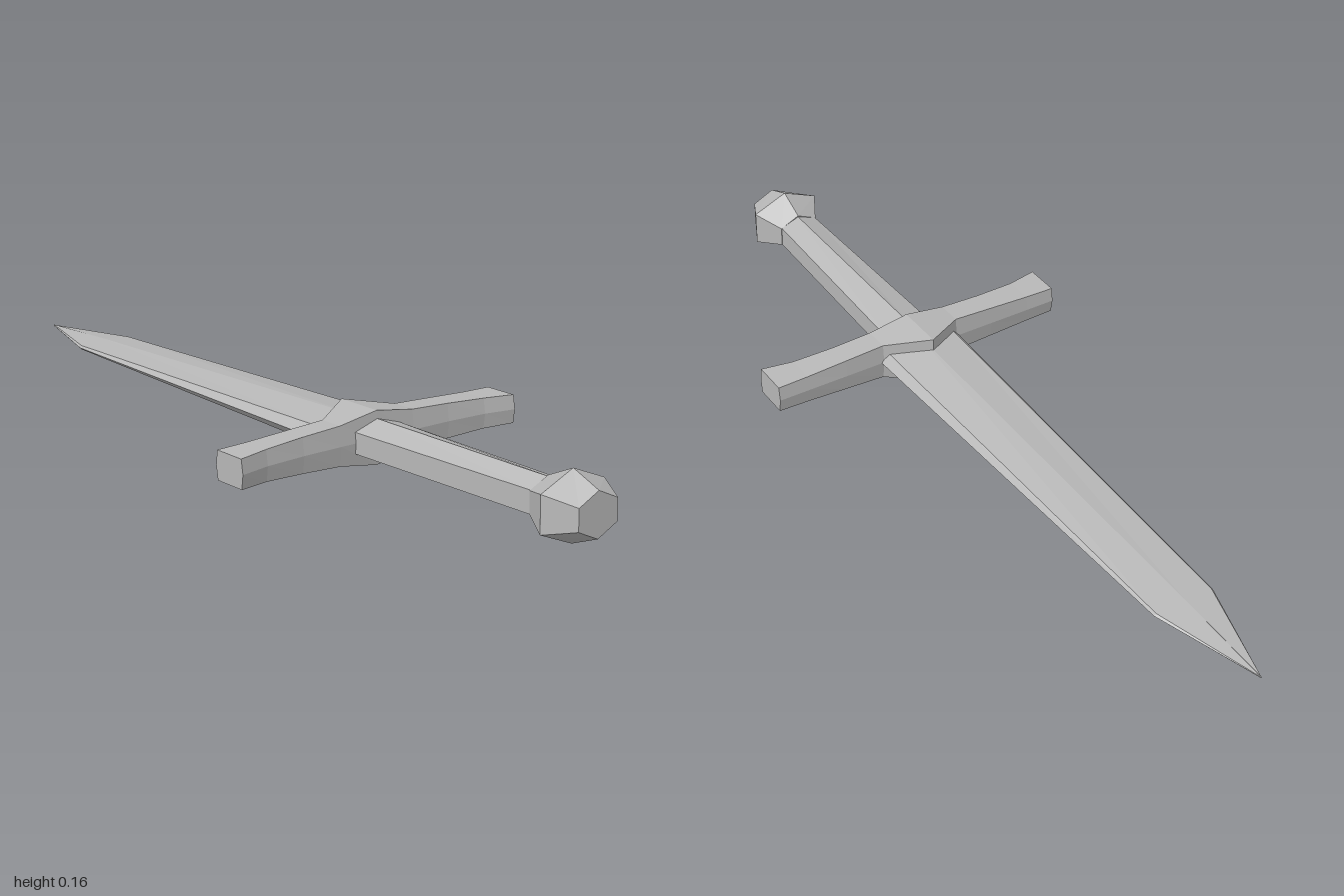
import * as THREE from 'three';

// Skin a solid through rings of points (counter-clockwise seen from the far end), flat shaded
function loft(rings) {
  const n = rings[0].length;
  const pos = [];
  const tri = (...pts) => pts.forEach((p) => pos.push(...p));
  for (let r = 0; r < rings.length - 1; r++) {
    const a = rings[r], b = rings[r + 1];
    for (let i = 0; i < n; i++) {
      const j = (i + 1) % n;
      tri(a[i], a[j], b[j]);
      tri(a[i], b[j], b[i]);
    }
  }
  const first = rings[0], last = rings[rings.length - 1];
  for (let i = 1; i < n - 1; i++) {
    tri(first[0], first[i + 1], first[i]);
    tri(last[0], last[i], last[i + 1]);
  }
  const g = new THREE.BufferGeometry();
  g.setAttribute('position', new THREE.Float32BufferAttribute(pos, 3));
  g.computeVertexNormals();
  return g;
}

// Hexagon with upright sides and a ridge at top and bottom
const hexRing = (z, w, side, h) => [
  [w, -side, z], [w, side, z], [0, h, z], [-w, side, z], [-w, -side, z], [0, -h, z],
];

// Blade section: central ridge, bevel shoulders and a sharp edge
const bladeRing = (z, edge, shoulder, sy, h) => [
  [edge, 0, z], [shoulder, sy, z], [0, h, z], [-shoulder, sy, z],
  [-edge, 0, z], [-shoulder, -sy, z], [0, -h, z], [shoulder, -sy, z],
];

// Guard section across x, slightly bulged on its front and back
const guardRing = (x, h, back, front) => [
  [x, h, back + 0.005], [x, h, front - 0.005], [x, 0, front],
  [x, -h, front - 0.005], [x, -h, back + 0.005], [x, 0, back],
];

export function createModel() {
  const steel = new THREE.MeshStandardMaterial({ color: 0xb8b8b8 });
  steel.name = 'steel grey';
  const sword = new THREE.Group();
  sword.name = 'sword';
  const add = (name, rings) => {
    const mesh = new THREE.Mesh(loft(rings), steel);
    mesh.name = name;
    sword.add(mesh);
  };

  // Tapering blade
  add('blade', [
    bladeRing(-1, 0.001, 0.0005, 0.001, 0.002),
    bladeRing(-0.75, 0.075, 0.07, 0.005, 0.011),
    bladeRing(0.29, 0.107, 0.088, 0.022, 0.035),
  ]);

  // Cross guard, mirrored from centre outwards
  const half = [
    [0.1, 0.045, 0.27, 0.34],
    [0.2, 0.04, 0.27, 0.341],
    [0.3, 0.035, 0.27, 0.348],
    [0.375, 0.033, 0.27, 0.364],
  ];
  add('crossGuard', [
    ...half.map(([x, ...s]) => guardRing(-x, ...s)).reverse(),
    guardRing(0, 0.061, 0.21, 0.34),
    ...half.map((s) => guardRing(...s)),
  ]);

  // Grip narrowing towards the pommel
  add('grip', [
    hexRing(0.3, 0.062, 0.024, 0.043),
    hexRing(0.88, 0.047, 0.025, 0.043),
  ]);

  // Faceted pommel
  add('pommel', [
    hexRing(0.86, 0.049, 0.024, 0.046),
    hexRing(0.928, 0.085, 0.041, 0.077),
    hexRing(0.998, 0.052, 0.024, 0.049),
  ]);

  // Lies on the ground, raised slightly at the pommel
  sword.rotation.x = -0.0275;
  sword.position.y = 0.0575;

  const model = new THREE.Group();
  model.name = 'lyingSword';
  model.add(sword);
  return model;
}
